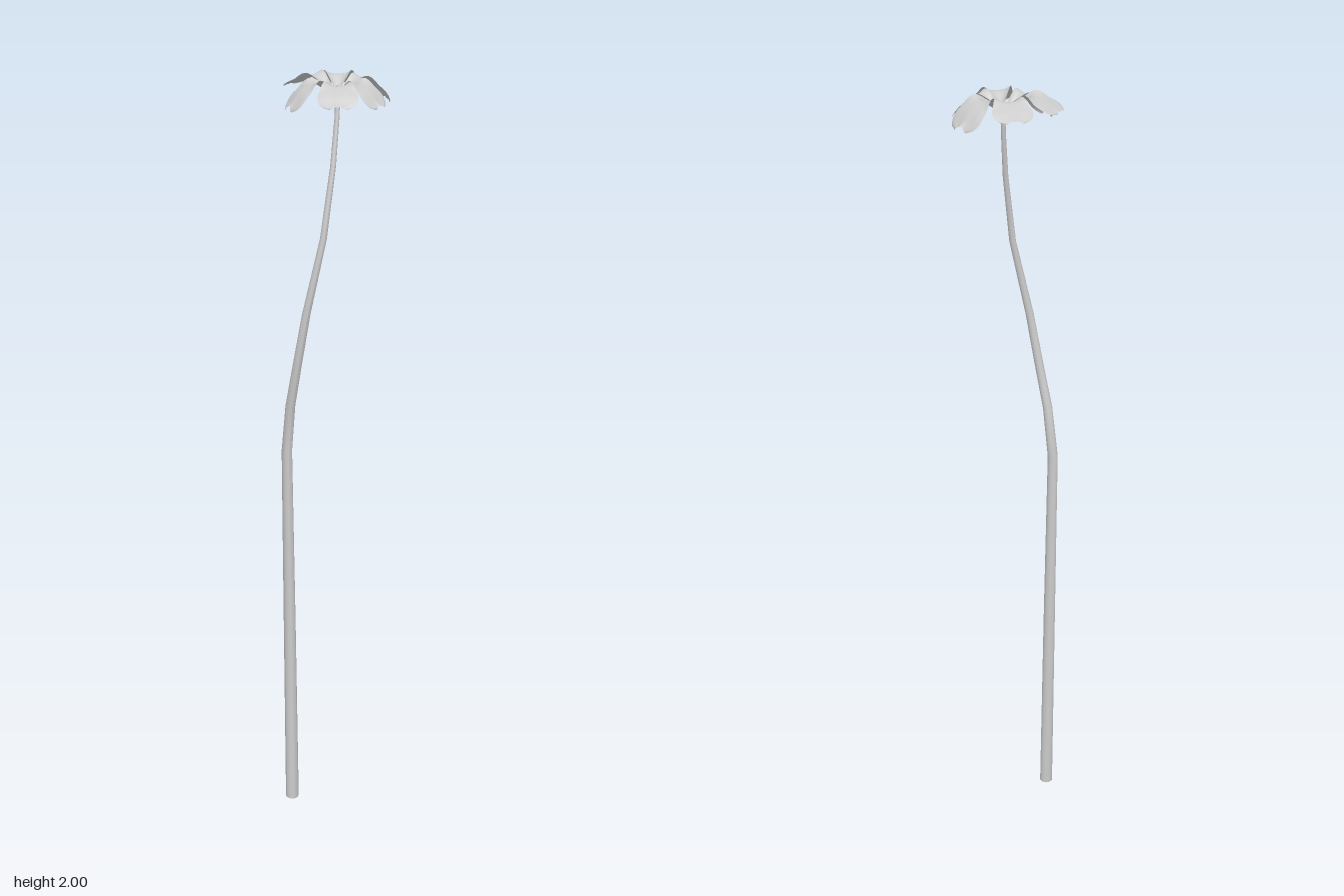
import * as THREE from 'three';

const grey = new THREE.MeshStandardMaterial({ color: 0xcccccc });
const thin = new THREE.MeshStandardMaterial({ color: 0xcccccc, side: THREE.DoubleSide });

function add(parent, name, geometry, material) {
  const mesh = new THREE.Mesh(geometry, material);
  mesh.name = name;
  parent.add(mesh);
  return mesh;
}

// Smooth interpolation through [t, value] pairs
function sample(keys, t) {
  let i = 0;
  while (i < keys.length - 2 && t > keys[i + 1][0]) i++;
  const [a, va] = keys[i], [b, vb] = keys[i + 1];
  return THREE.MathUtils.lerp(va, vb, (t - a) / (b - a));
}

// Stem: a cylinder whose rings follow a bent, tapering path [x, y, z, radius]
function stemGeometry() {
  const path = [
    [-0.12, 0, -0.045, 0.018], [-0.12, 0.55, -0.048, 0.016],
    [-0.12, 1.05, -0.052, 0.0135], [-0.117, 1.18, -0.031, 0.0125],
    [-0.108, 1.3, -0.002, 0.0115], [-0.09, 1.43, 0.014, 0.0105],
    [-0.053, 1.62, 0.036, 0.0085], [-0.02, 1.79, 0.019, 0.007],
    [-0.004, 1.9, 0.005, 0.006], [0.001, 1.962, 0, 0.006],
  ];
  const n = path.length - 1;
  const geo = new THREE.CylinderGeometry(1, 1, 1, 10, n);
  const p = geo.attributes.position;
  for (let i = 0; i < p.count; i++) {
    const [x, y, z, r] = path[Math.round((p.getY(i) + 0.5) * n)];
    p.setXYZ(i, x + p.getX(i) * r, y, z + p.getZ(i) * r);
  }
  geo.computeVertexNormals();
  return geo;
}

// Petal: a grid widened along its length, arched up and drooping at the tip
const widthKeys = [[0, 0.05], [0.15, 0.2], [0.4, 0.58], [0.6, 0.83], [0.75, 0.98],
  [0.84, 1], [0.92, 0.88], [0.97, 0.66], [1, 0.4]];

function petalGeometry({ length, width, peak, tip, cup }) {
  const geo = new THREE.PlaneGeometry(1, 2, 20, 10);
  const p = geo.attributes.position;
  const rise = new THREE.SplineCurve([
    new THREE.Vector2(0, 1.957), new THREE.Vector2(0.3, 1.967),
    new THREE.Vector2(0.62, peak), new THREE.Vector2(0.82, (peak * 2 + tip) / 3),
    new THREE.Vector2(1, tip),
  ]);
  for (let i = 0; i < p.count; i++) {
    const t = p.getX(i) + 0.5, s = p.getY(i);
    const ripple = 0.0025 * Math.cos(s * 8) * t ** 6;
    // Channelled near the base, domed toward the tip
    const bend = s * s * (0.016 * Math.sin(Math.PI * Math.min(1, t * 1.5)) - cup * t * t);
    const curve = rise.getPoint(t);
    p.setXYZ(i, length * t + ripple, curve.y + bend, -s * width * sample(widthKeys, t));
  }
  geo.computeVertexNormals();
  return geo;
}

export function createModel() {
  const model = new THREE.Group();
  model.name = 'flower';
  add(model, 'stem', stemGeometry(), grey);

  // Six petals, angle measured from +x toward +z
  const petals = [
    { angle: -7, length: 0.132, width: 0.047, peak: 1.988, tip: 1.94, cup: 0.012 },
    { angle: -66, length: 0.143, width: 0.047, peak: 1.991, tip: 1.965, cup: 0.006 },
    { angle: -120, length: 0.143, width: 0.047, peak: 1.992, tip: 1.968, cup: 0.004 },
    { angle: 178, length: 0.127, width: 0.042, peak: 1.984, tip: 1.936, cup: 0.012 },
    { angle: 113, length: 0.142, width: 0.047, peak: 1.984, tip: 1.948, cup: 0.006 },
    { angle: 58, length: 0.121, width: 0.043, peak: 1.984, tip: 1.94, cup: 0.008 },
  ];
  const blossom = new THREE.Group();
  blossom.name = 'blossom';
  for (const petal of petals) {
    const mesh = add(blossom, 'petal', petalGeometry(petal), thin);
    mesh.rotation.y = -THREE.MathUtils.degToRad(petal.angle);
  }

  // Small angular stamens at the heart
  for (let i = 0; i < 5; i++) {
    const a = (i / 5) * Math.PI * 2 + 0.4;
    const stamen = add(blossom, 'stamen', new THREE.BoxGeometry(0.007, 0.018, 0.007), grey);
    stamen.position.set(0.002 + Math.cos(a) * 0.006, 1.966, -0.002 + Math.sin(a) * 0.006);
    stamen.rotation.set(Math.sin(a) * 0.4, a, -Math.cos(a) * 0.4);
  }

  // Receptacle joining stem and petals
  const receptacle = add(blossom, 'receptacle', new THREE.CylinderGeometry(0.012, 0.006, 0.022, 8), grey);
  receptacle.position.y = 1.951;

  model.add(blossom);
  return model;
}
